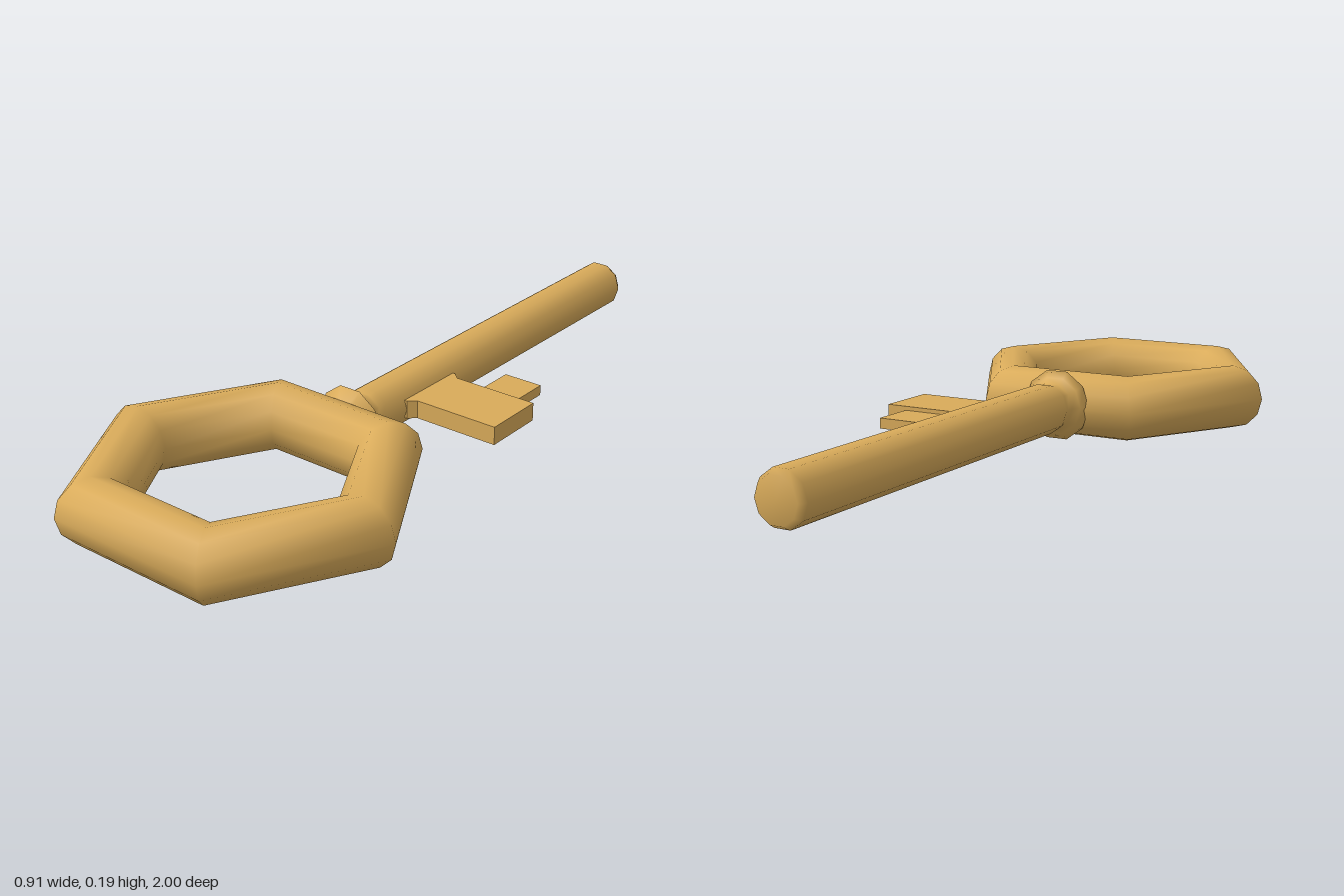
import * as THREE from 'three';

const MID = 0.092; // height of the key's middle plane

export function createModel() {
  const key = new THREE.Group();
  key.name = 'key';
  const brass = new THREE.MeshStandardMaterial({ color: 0xd9ab5a });

  const add = (name, geometry, y, z = 0) => {
    const mesh = new THREE.Mesh(geometry, brass);
    mesh.name = name;
    mesh.position.set(0, y, z);
    key.add(mesh);
  };

  // Flat plate from an outline in x and z, centred on its thickness
  const plate = (outline, thickness) => {
    const shape = new THREE.Shape(outline.map(([x, z]) => new THREE.Vector2(x, -z)));
    return new THREE.ExtrudeGeometry(shape, { depth: thickness, bevelEnabled: false })
      .translate(0, 0, -thickness / 2)
      .rotateX(-Math.PI / 2);
  };

  // Hexagonal ring handle with a round section
  add('bow', new THREE.TorusGeometry(0.363, 0.09, 12, 6).rotateX(Math.PI / 2), 0.09, 0.608);

  // Ten-sided shaft: flared collar, slight neck, bevelled tip (radius, distance towards the back)
  const profile = [
    [0.045, -0.29], [0.1, -0.222], [0.08, -0.21], [0.066, -0.19], [0.064, -0.17],
    [0.07, -0.15], [0.07, 0.98], [0.058, 1], [0, 1],
  ].map(([r, d]) => new THREE.Vector2(r, d));
  add('shaft', new THREE.LatheGeometry(profile, 10, Math.PI / 2).rotateX(-Math.PI / 2), 0.095);

  // Bit, widening where it meets the shaft
  add('bit', plate([
    [0.03, 0.078], [0.07, 0.078], [0.09, 0.06], [0.333, 0.06],
    [0.333, -0.114], [0.09, -0.114], [0.07, -0.132], [0.03, -0.132],
  ], 0.05), MID + 0.003);

  // Tooth on the back edge of the bit
  add('tooth', plate([
    [0.165, -0.1], [0.277, -0.1], [0.277, -0.233], [0.165, -0.233],
  ], 0.028), MID + 0.003);

  return key;
}
